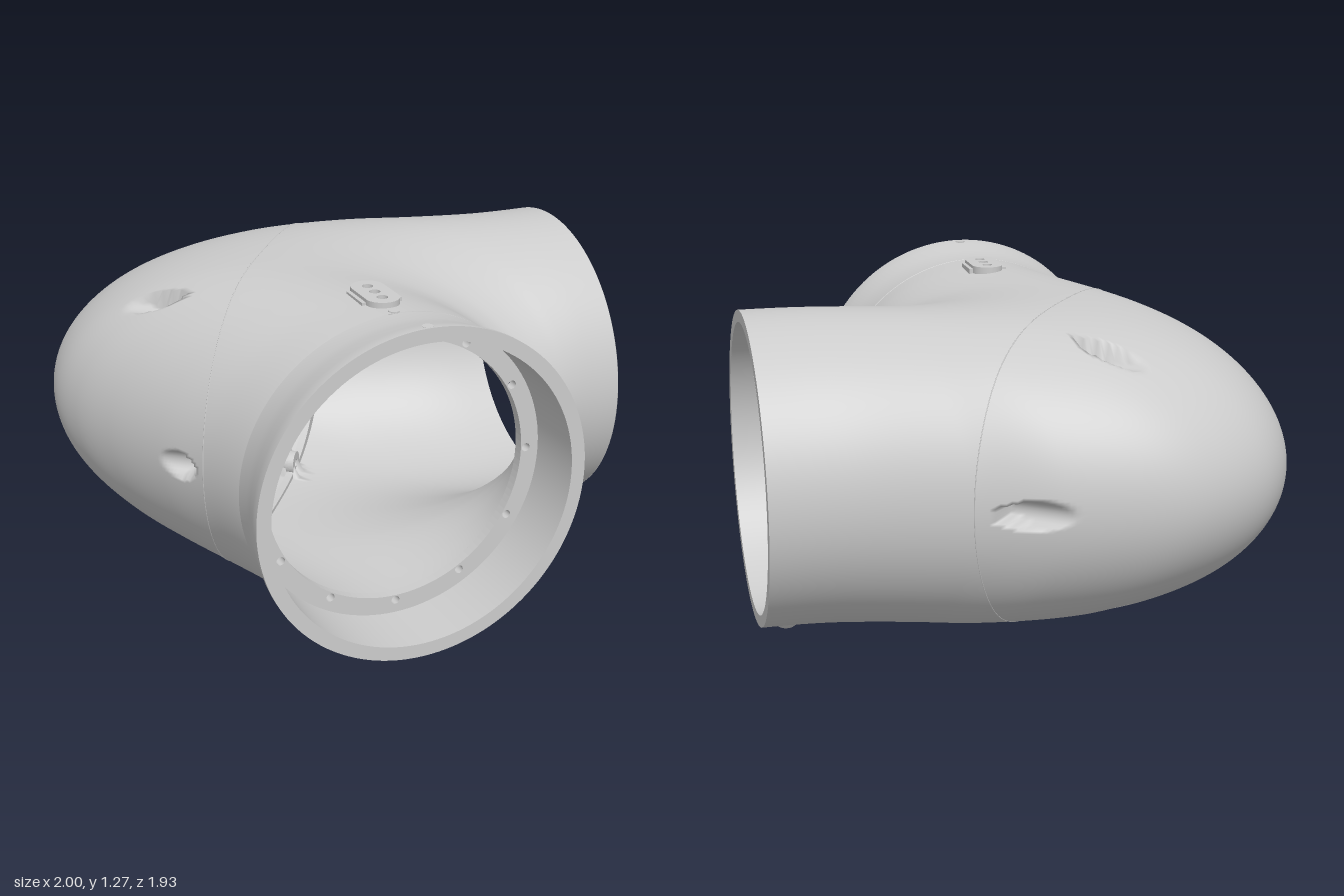
import * as THREE from 'three';
import { toCreasedNormals } from 'three/addons/utils/BufferGeometryUtils.js';

const grey = new THREE.MeshStandardMaterial({ color: 0xcccccc, side: THREE.DoubleSide });
const CY = 0.643, R = 0.592, WALL = 0.045, FX = -0.065;

// Plan-view edges of the elbow: outside of the bend and inside of the bend
const spline = (pts) => new THREE.SplineCurve(pts.map(([x, z]) => new THREE.Vector2(x, z)));
const outerEdge = spline([[-0.655, 0.7], [-0.71, 0.49], [-0.8, 0.26], [-0.905, 0], [-0.975, -0.21],
  [-0.997, -0.41], [-0.935, -0.62], [-0.795, -0.8], [-0.585, -0.918], [-0.34, -0.965], [0, -0.925],
  [0.31, -0.82], [0.6, -0.735], [0.8, -0.7], [1, -0.69]]);
const innerEdge = spline([[0.525, 0.7], [0.535, 0.65], [0.55, 0.615], [0.57, 0.585], [0.59, 0.565],
  [0.61, 0.55], [0.63, 0.54], [0.65, 0.53], [0.67, 0.525], [0.7, 0.518], [0.74, 0.51],
  [0.79, 0.503], [0.85, 0.497], [0.91, 0.493], [1, 0.49]]);

// Slanted joint plane between the two halves; screws are [along, up, tube length]
const joint = new THREE.Vector3(-0.2, CY, -0.165);
const along = new THREE.Vector3(0.614, 0, -0.789).normalize();
const normal = new THREE.Vector3(0.789, 0, 0.614).normalize();
const screws = [[0.758, 0, 0.03], [-0.758, 0, 0.03]];
for (const k of [1, -1]) screws.push([0.335, k * 0.482, 0.07], [-0.36, k * 0.458, 0.07]);

function station(t) {
  const o = outerEdge.getPoint(t), i = innerEdge.getPoint(t);
  return { c: o.clone().add(i).multiplyScalar(0.5), r: o.clone().sub(i).multiplyScalar(0.5) };
}

// Push points that fall inside a screw channel to the inner side of that channel
const channels = screws.map(([s, y]) => ({
  p: joint.clone().addScaledVector(along, s).add(new THREE.Vector3(0, y, 0)),
  inward: y ? new THREE.Vector3(0, -Math.sign(y), 0) : along.clone().multiplyScalar(-Math.sign(s)),
}));
function carve(v, radius) {
  for (const { p, inward } of channels) {
    const rel = v.clone().sub(p), a = -rel.dot(normal);
    if (a < 0) continue;
    const w = rel.dot(inward), d2 = Math.max(0, rel.lengthSq() - a * a - w * w);
    if (w * w + d2 < radius * radius) v.addScaledVector(inward, Math.sqrt(radius * radius - d2) - w);
  }
  return v;
}

// Elbow skin lofted from elliptical stations, finer on the outside of the bend
function skin(offset, radius, nu, nv, flip) {
  const pos = [], idx = [];
  for (let i = 0; i <= nu; i++) {
    const { c, r } = station(i / nu), k = 1 - offset / r.length();
    for (let j = 0; j < nv; j++) {
      const t = (j / nv) * Math.PI * 2, q = t - 0.45 * Math.sin(t), m = k * Math.cos(q);
      const v = new THREE.Vector3(c.x + r.x * m, CY + (R - offset) * Math.sin(q), c.y + r.y * m);
      pos.push(...carve(v, radius).toArray());
      if (i === nu) continue;
      const a = i * nv + j, b = i * nv + (j + 1) % nv, e = a + nv, f = b + nv;
      if (flip) idx.push(a, e, b, b, e, f);
      else idx.push(a, b, e, b, f, e);
    }
  }
  const g = new THREE.BufferGeometry();
  g.setAttribute('position', new THREE.Float32BufferAttribute(pos, 3));
  g.setIndex(idx);
  g.computeVertexNormals();
  return g;
}

// Closed line where the joint plane meets the outer skin
function seamPoints() {
  const upper = [], n = 90;
  const n2 = new THREE.Vector2(normal.x, normal.z), j2 = new THREE.Vector2(joint.x, joint.z);
  for (let i = 0; i <= n; i++) {
    const t = (1 + 10 * (0.5 - 0.5 * Math.cos((i / n) * Math.PI))) / 14;
    const { c, r } = station(t);
    const m = THREE.MathUtils.clamp(-c.clone().sub(j2).dot(n2) / r.dot(n2), -1, 1);
    upper.push(new THREE.Vector3(c.x + r.x * m, CY + R * Math.sqrt(1 - m * m), c.y + r.y * m));
  }
  const lower = upper.slice(1, -1).reverse().map((p) => new THREE.Vector3(p.x, 2 * CY - p.y, p.z));
  return [...upper, ...lower];
}

function circleHole(x, y, r) {
  return new THREE.Path().absarc(x, y, r, 0, Math.PI * 2, true);
}
function disc(r, holes) {
  const s = new THREE.Shape().absarc(0, 0, r, 0, Math.PI * 2, false);
  s.holes.push(...holes);
  return s;
}
const extrude = (shape, depth, curveSegments = 24) =>
  new THREE.ExtrudeGeometry(shape, { depth, bevelEnabled: false, curveSegments });
const lathe = (pts, seg) => toCreasedNormals(
  new THREE.LatheGeometry(pts.map(([x, y]) => new THREE.Vector2(x, y)), seg), 0.5);

export function createModel() {
  const model = new THREE.Group();
  const add = (name, geo, x = 0, y = 0, z = 0, parent = model) => {
    const m = new THREE.Mesh(geo, grey);
    m.name = name;
    m.position.set(x, y, z);
    parent.add(m);
  };

  // Elbow shell and its side rim
  add('elbowOuterSkin', skin(0, 0.048, 230, 190, false));
  add('elbowInnerSkin', skin(WALL, 0.058, 130, 130, true));
  add('sideRim', new THREE.RingGeometry(R - WALL, R, 128).rotateY(Math.PI / 2), 1, CY, -0.1);

  // Fine seam line around the joint
  const seam = seamPoints();
  add('jointSeam', new THREE.TubeGeometry(new THREE.CatmullRomCurve3(seam, true), 360, 0.002, 5, true));

  // Internal joint flange, wide at both ends, with screw tabs and screw tubes
  const jointGroup = new THREE.Group();
  jointGroup.name = 'jointFlangeGroup';
  jointGroup.position.copy(joint);
  jointGroup.rotation.y = Math.atan2(-along.z, along.x);
  model.add(jointGroup);
  const outline = (ks, ky) => seam.map((p) =>
    new THREE.Vector2(p.clone().sub(joint).dot(along) * ks, (p.y - CY) * ky));
  const flangeShape = new THREE.Shape(outline(0.965, 0.96));
  flangeShape.holes.push(new THREE.Path(outline(0.885, 0.9)));
  add('jointFlange', extrude(flangeShape, 0.03), 0, 0, -0.015, jointGroup);
  for (const [s, y, length] of screws) {
    add('screwTab', extrude(disc(0.05, [circleHole(0, 0, 0.015)]), 0.032), s, y, -0.016, jointGroup);
    add('screwTube', new THREE.CylinderGeometry(0.044, 0.044, length, 24, 1, true).rotateX(Math.PI / 2),
      s, y, -0.012 - length / 2, jointGroup);
  }

  // Flared front collar
  add('frontCollar', lathe([[0.575, 0.7], [0.587, 0.702], [0.592, 0.706], [0.593, 0.78], [0.604, 0.84],
    [0.618, 0.9], [0.627, 0.94], [0.628, 0.962], [0.575, 0.962], [0.57, 0.73]], 128)
    .rotateX(Math.PI / 2), FX, CY, 0);

  // Bolt flange inside the collar
  const bolts = [];
  for (let i = 0; i < 12; i++) {
    const a = (i / 12) * Math.PI * 2;
    bolts.push(circleHole(0.52 * Math.cos(a), 0.52 * Math.sin(a), 0.016));
  }
  add('boltFlange', extrude(disc(0.576, [circleHole(0, 0, 0.5), ...bolts]), 0.04, 64), FX, CY, 0.69);

  // Top plate with three holes and side lugs
  const plate = new THREE.Shape();
  plate.absarc(0, 0.06, 0.062, 0, Math.PI, false);
  plate.absarc(0, -0.06, 0.062, Math.PI, Math.PI * 2, false);
  for (const y of [-0.062, 0, 0.062]) plate.holes.push(circleHole(0, y, 0.02));
  add('topPlate', extrude(plate, 0.03).rotateX(-Math.PI / 2), FX, 1.225, 0.525);
  for (const s of [-1, 1]) add('plateLug', new THREE.BoxGeometry(0.02, 0.022, 0.13), FX + s * 0.067, 1.232, 0.52);

  // Small alignment marks on the top
  add('seamMark', new THREE.CylinderGeometry(0.02, 0.02, 0.012, 20), FX, 1.232, 0.68);
  add('collarMark', new THREE.CylinderGeometry(0.02, 0.02, 0.012, 20), FX, 1.265, 0.938);

  // Foot boss under the side opening
  add('footBoss', lathe([[0.018, 0.03], [0.018, 0], [0.03, 0], [0.045, 0.012], [0.066, 0.04], [0.066, 0.065]], 32),
    0.88, 0, -0.1);

  return model;
}
